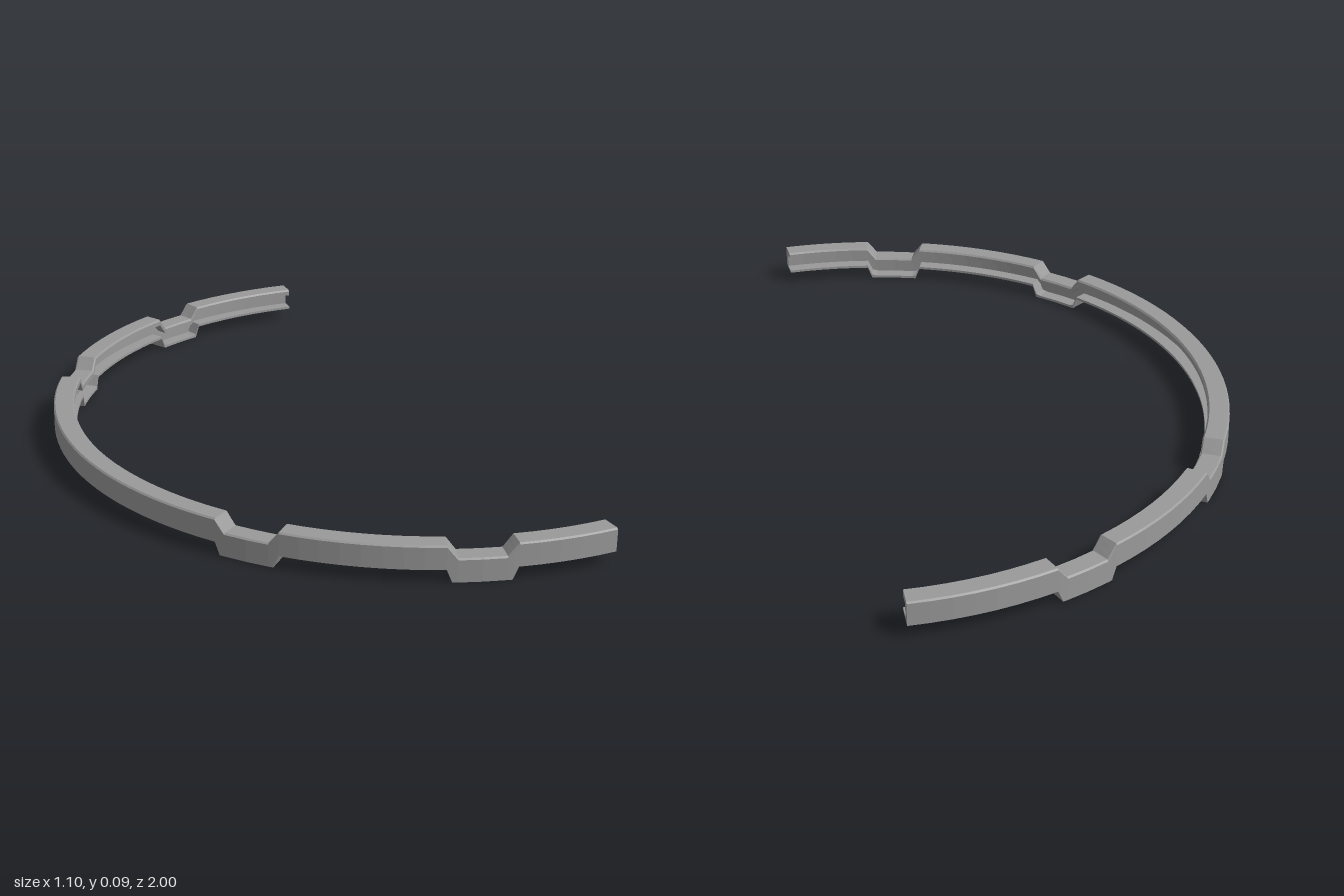
import * as THREE from 'three';

const CENTRE_X = 0.45;
const START = -95.7, END = 89.5;       // arc ends in degrees, 0 = -x side
const DIPS = [-69.85, -36.85, 36.85, 69.85];
const DROP = 0.033, DIP_HALF = 4.95;

// C-shaped channel section as [radius, height], open to the inside of the ring
const PROFILE = [
  [1, 0.033], [1, 0.091], [0.996, 0.095], [0.947, 0.095], [0.943, 0.09],
  [0.943, 0.077], [0.975, 0.077], [0.975, 0.04], [0.937, 0.04], [0.937, 0.033],
];

// Lowered height inside a dip; the upper edge has the longer ramps
function dropAt(angle, height) {
  const t = (height - 0.033) / 0.062;
  const flatHalf = THREE.MathUtils.lerp(4.15, 3.4, t);
  let drop = 0;
  for (const dip of DIPS) {
    const k = (DIP_HALF - Math.abs(angle - dip)) / (DIP_HALF - flatHalf);
    drop = Math.max(drop, THREE.MathUtils.clamp(k, 0, 1) * DROP);
  }
  return drop;
}

// Angles of the cross-sections: ramp corners plus even steps between them
function stationAngles() {
  const corners = [START, END];
  for (const dip of DIPS)
    for (const h of [DIP_HALF, 4.15, 3.4]) corners.push(dip - h, dip + h);
  corners.sort((a, b) => a - b);
  const angles = [corners[0]];
  for (let i = 1; i < corners.length; i++) {
    const a = corners[i - 1], b = corners[i];
    const n = Math.max(1, Math.round((b - a) / 2.8));
    for (let k = 1; k <= n; k++) angles.push(a + ((b - a) * k) / n);
  }
  return angles;
}

function channelGeometry() {
  const angles = stationAngles(), n = PROFILE.length;
  const positions = [], index = [];
  for (const angle of angles) {
    const a = THREE.MathUtils.degToRad(angle);
    for (const [r, y] of PROFILE)
      positions.push(CENTRE_X - r * Math.cos(a), y - dropAt(angle, y), r * Math.sin(a));
  }
  for (let i = 0; i < angles.length - 1; i++)
    for (let j = 0; j < n; j++) {
      const k = (j + 1) % n;
      const a = i * n + j, b = a + n, c = (i + 1) * n + k, d = i * n + k;
      index.push(a, b, c, a, c, d);
    }
  // End caps
  const outline = PROFILE.map(([r, y]) => new THREE.Vector2(r, y));
  const last = (angles.length - 1) * n;
  for (const [a, b, c] of THREE.ShapeUtils.triangulateShape(outline, []))
    index.push(a, b, c, last + a, last + c, last + b);

  const geometry = new THREE.BufferGeometry();
  geometry.setAttribute('position', new THREE.Float32BufferAttribute(positions, 3));
  geometry.setIndex(index);
  const flat = geometry.toNonIndexed();
  flat.computeVertexNormals();
  return flat;
}

export function createModel() {
  const grey = new THREE.MeshStandardMaterial({ color: 0x9a9a9a, flatShading: true });
  grey.name = 'grey';
  const channel = new THREE.Mesh(channelGeometry(), grey);
  channel.name = 'curvedChannel';
  const group = new THREE.Group();
  group.name = 'steppedArc';
  group.add(channel);
  return group;
}
